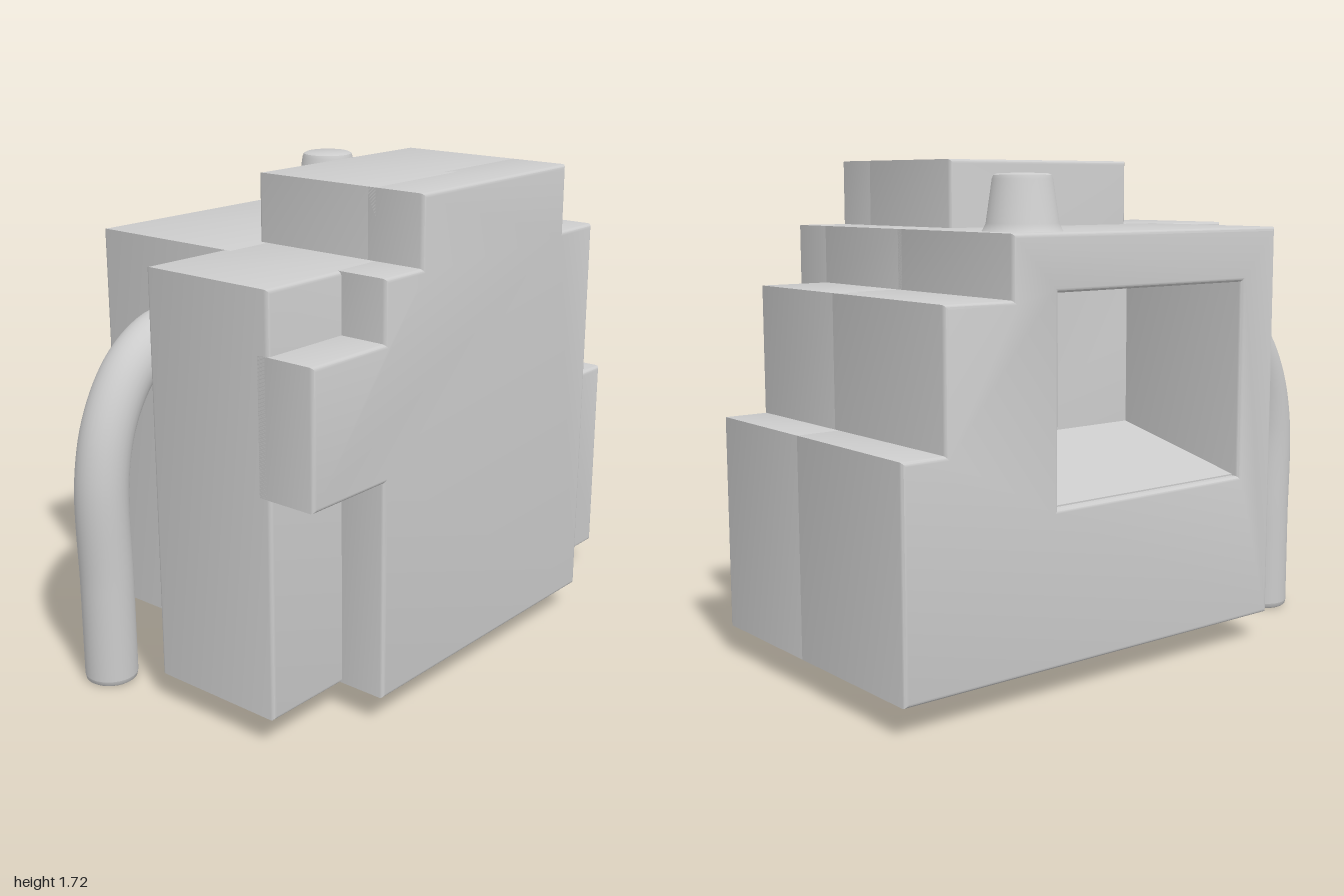
import * as THREE from 'three';
import { toCreasedNormals } from 'three/addons/utils/BufferGeometryUtils.js';

const BEVEL = 0.014;

export function createModel() {
  const model = new THREE.Group();
  const material = new THREE.MeshStandardMaterial({ color: 0xcccccc });

  const add = (name, geometry) => {
    const mesh = new THREE.Mesh(geometry, material);
    mesh.name = name;
    model.add(mesh);
    return mesh;
  };

  // Side profile of [z, y] points
  const path = (points, Type = THREE.Shape) =>
    new Type(points.map(([z, y]) => new THREE.Vector2(-z, y)));

  // Extrudes a side profile from x0 to x1 with softened edges
  const slab = (name, points, x0, x1, hole) => {
    const shape = path(points);
    if (hole) shape.holes.push(path(hole, THREE.Path));
    const geometry = new THREE.ExtrudeGeometry(shape, {
      depth: x1 - x0 - 2 * BEVEL,
      bevelEnabled: true,
      bevelThickness: BEVEL,
      bevelSize: BEVEL,
      bevelOffset: -BEVEL,
      bevelSegments: 3,
    });
    geometry.translate(0, 0, x0 + BEVEL).rotateY(Math.PI / 2);
    return add(name, toCreasedNormals(geometry, 0.6));
  };

  // Shared outlines: stepped back and raised roof block
  const backSteps = [[-0.59, 1.485], [-0.59, 1.285], [-0.845, 1.285], [-0.845, 0.84], [-1, 0.84], [-1, 0.1]];
  const roof = [[0.4, 1.485], [0.4, 1.715], [-0.4, 1.715], [-0.4, 1.485]];

  // Left-hand part of the body with its side opening, closed by the middle part
  slab('openChamber', [[0.575, 0.1], [0.575, 1.485], ...backSteps], -0.63, 0,
    [[0.41, 0.62], [-0.41, 0.62], [-0.41, 1.3], [0.41, 1.3]]);

  // Middle part reaching forward and up
  slab('middleBody', [[0.91, 0.1], [0.91, 1.485], ...roof, ...backSteps], -0.05, 0.457);

  // Outer side part with notched front corner
  slab('sideBody', [
    [0.58, 0.1], [0.58, 0.84], [0.91, 0.84], [0.91, 1.285], [0.58, 1.285], [0.58, 1.485],
    ...roof, [-0.59, 1.485], [-0.59, 0.1],
  ], 0.4, 0.63);

  // Sloping floor inside the opening
  const wedge = new THREE.Shape([
    new THREE.Vector2(-0.6, 0.6), new THREE.Vector2(-0.03, 0.6),
    new THREE.Vector2(-0.03, 0.75), new THREE.Vector2(-0.6, 0.625),
  ]);
  add('chamberFloor', new THREE.ExtrudeGeometry(wedge, { depth: 0.84, bevelEnabled: false }))
    .position.z = -0.42;

  // Bent pipe from the front wall down to the ground
  const bend = new THREE.CatmullRomCurve3([
    [-0.31, 0.02, 0.91], [-0.31, 0.35, 0.91], [-0.31, 0.72, 0.91], [-0.315, 0.92, 0.857],
    [-0.323, 1.07, 0.755], [-0.332, 1.15, 0.63], [-0.338, 1.17, 0.5],
  ].map((p) => new THREE.Vector3(...p)));
  add('pipe', new THREE.TubeGeometry(bend, 48, 0.091, 28));

  // Rounded lower end of the pipe
  const tip = [[0, 0], [0.08, 0], [0.088, 0.006], [0.091, 0.02]];
  add('pipeEnd', new THREE.LatheGeometry(tip.map((p) => new THREE.Vector2(...p)), 28))
    .position.set(-0.31, 0, 0.91);

  // Tapered stub on the roof
  const stub = [[0.15, 1.47], [0.128, 1.487], [0.117, 1.51], [0.097, 1.648], [0.092, 1.66], [0.08, 1.666], [0, 1.666]];
  add('roofStub', toCreasedNormals(
    new THREE.LatheGeometry(stub.map((p) => new THREE.Vector2(...p)), 32), 0.6))
    .position.set(-0.443, 0, -0.405);

  // Small dome under the body
  const dome = [[0, 0.008], [0.035, 0.018], [0.068, 0.05], [0.085, 0.08], [0.112, 0.108]];
  add('bottomDome', new THREE.LatheGeometry(dome.map((p) => new THREE.Vector2(...p)), 24))
    .position.set(0.21, 0, -0.658);

  return model;
}
